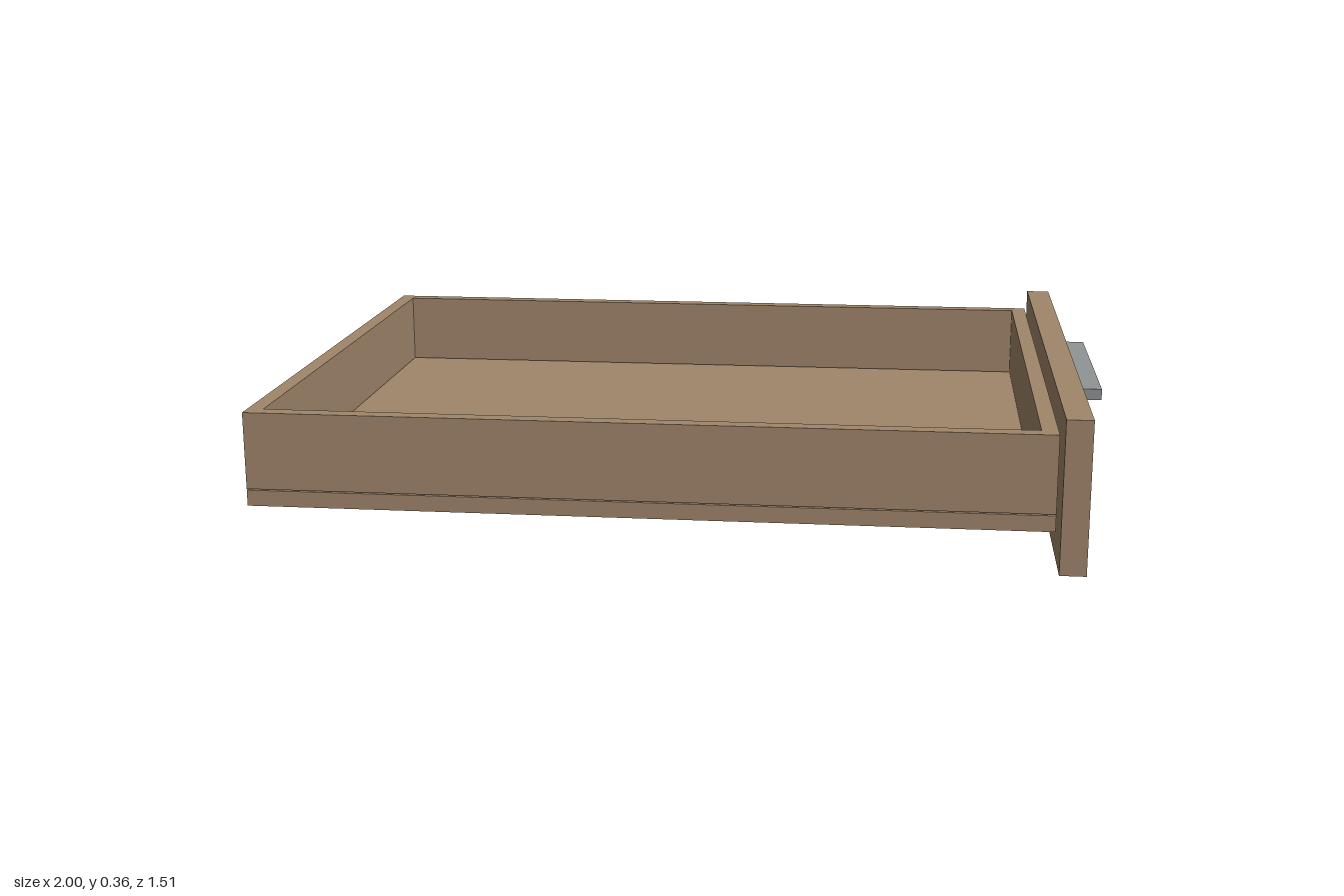
import * as THREE from 'three';

export function createModel() {
  const group = new THREE.Group();
  const wood = new THREE.MeshStandardMaterial({ color: 0xa0866a });
  wood.name = 'wood';
  const metal = new THREE.MeshStandardMaterial({ color: 0x909496 });
  metal.name = 'handle metal';

  // Box given by its limits along each axis
  function board(name, material, [x0, x1], [y0, y1], [z0, z1]) {
    const mesh = new THREE.Mesh(new THREE.BoxGeometry(x1 - x0, y1 - y0, z1 - z0), material);
    mesh.position.set((x0 + x1) / 2, (y0 + y1) / 2, (z0 + z1) / 2);
    mesh.name = name;
    group.add(mesh);
  }

  const back = -1, front = 0.867, half = 0.718, t = 0.038;
  const wallY = [0.131, 0.315];

  // Drawer tray
  board('bottomPanel', wood, [back, front], [0.09, 0.128], [-half, half]);
  board('leftSide', wood, [back, front], wallY, [half - t, half]);
  board('rightSide', wood, [back, front], wallY, [-half, -half + t]);
  board('backWall', wood, [back, back + t], wallY, [-half + t, half - t]);
  board('innerFrontWall', wood, [front - t, front], wallY, [-half + t, half - t]);

  // Face panel and pull handle, each with a narrow gap behind it
  board('facePanel', wood, [0.876, 0.937], [0, 0.36], [-0.755, 0.755]);
  board('handle', metal, [0.946, 1], [0.287, 0.314], [-0.271, 0.271]);

  return group;
}
